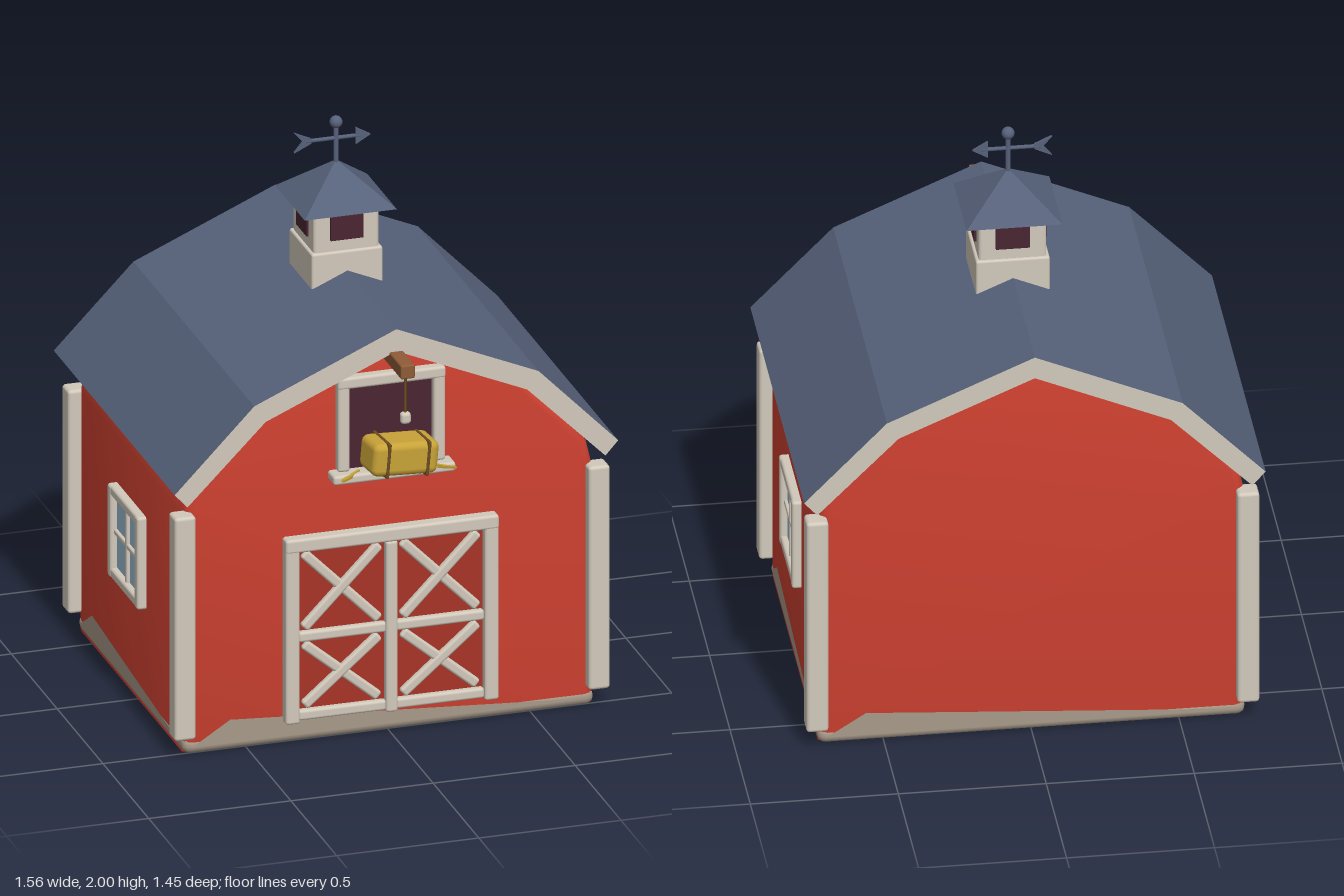
import * as THREE from 'three';
import { toCreasedNormals } from 'three/addons/utils/BufferGeometryUtils.js';
import { RoundedBoxGeometry } from 'three/addons/geometries/RoundedBoxGeometry.js';

const mat = (name, color, side = THREE.FrontSide) => {
  const m = new THREE.MeshStandardMaterial({ color, side });
  m.name = name;
  return m;
};

export function createModel() {
  const red = mat('barnRed', 0xcc4030);
  const darkRed = mat('doorRed', 0xa83428);
  const cream = mat('creamTrim', 0xd2c9bb);
  const stone = mat('stone', 0xa89a8a, THREE.DoubleSide);
  const slate = mat('slateBlue', 0x56617a);
  const wood = mat('wood', 0x8f5c38);
  const straw = mat('straw', 0xc9a338);
  const twine = mat('twine', 0x6b4c20);
  const dark = mat('darkOpening', 0x4a2632);
  const glass = mat('glass', 0x9dbfd6);

  const model = new THREE.Group();
  model.name = 'barn';
  const CZ = -0.06; // middle of the building in z
  const FRONT = 0.52;

  const group = (name, parent = model) => {
    const g = new THREE.Group();
    g.name = name;
    parent.add(g);
    return g;
  };
  const add = (name, geo, material, x = 0, y = 0, z = 0, parent = model) => {
    const m = new THREE.Mesh(geo, material);
    m.name = name;
    m.position.set(x, y, z);
    parent.add(m);
    return m;
  };
  // Soft-edged block given by its centre and size
  const block = (name, material, [x, y, z], [w, h, d], parent = model, r = 0.01) =>
    add(name, new RoundedBoxGeometry(w, h, d, 2, Math.min(r, w / 2.1, h / 2.1, d / 2.1)), material, x, y, z, parent);
  const plate = (name, material, [x, y, z], [w, h, d], parent = model) =>
    add(name, new THREE.BoxGeometry(w, h, d), material, x, y, z, parent);
  const shape = (pts) => new THREE.Shape(pts.map(([x, y]) => new THREE.Vector2(x, y)));
  // Close a right-hand outline with its mirror image
  const mirrored = (half) => [...half, ...half.filter(([x]) => x > 0).reverse().map(([x, y]) => [-x, y])];

  // Walls: gambrel profile with softened corners
  const wallHalf = [[0.72, 0.005], [0.72, 0.87], [0.7, 0.955], [0.63, 1.045], [0.46, 1.22], [0, 1.42]];
  const walls = new THREE.ExtrudeGeometry(shape(mirrored(wallHalf)), {
    depth: 1.1, bevelSize: 0.03, bevelOffset: -0.03, bevelThickness: 0.03, bevelSegments: 3,
  });
  add('walls', toCreasedNormals(walls, 0.6), red, 0, 0, CZ - 0.55);

  // Stone footing, with a sloping wedge against each wall
  block('footing', stone, [0, 0.03, CZ], [1.446, 0.06, 1.166], model, 0.0299);
  for (let i = 0; i < 4; i++) {
    const along = i % 2 ? 0.55 : 0.69;
    const out = i % 2 ? 0.723 : 0.583;
    const side = group('footingWedge');
    side.position.z = CZ;
    side.rotation.y = i * Math.PI / 2;
    const tri = shape([[-along, 0.03], [along, 0.03], [-along + 0.13, 0.112]]);
    add('wedge', new THREE.ShapeGeometry(tri), stone, 0, 0, out, side);
  }

  // Roof shell: slate surfaces, cream gable ends
  const outer = [[0.78, 0.985], [0.5, 1.272], [0, 1.488], [-0.5, 1.272], [-0.78, 0.985]];
  const inner = [[-0.735, 0.935], [-0.46, 1.21], [0, 1.408], [0.46, 1.21], [0.735, 0.935]];
  const roof = new THREE.ExtrudeGeometry(shape([...outer, ...inner]), { depth: 1.32, bevelEnabled: false });
  add('roof', roof, [cream, slate], 0, 0, -0.72);

  // Corner posts
  for (const x of [-0.728, 0.728])
    for (const z of [0.523, -0.643])
      block('cornerPost', cream, [x, 0.475, z], [0.075, 0.81, 0.075], model, 0.012);

  // Double barn door with crossed braces
  const door = group('barnDoor');
  plate('doorPanel', darkRed, [0, 0.4, FRONT], [0.66, 0.62, 0.016], door);
  for (const s of [-1, 1]) {
    block('doorJamb', cream, [s * 0.35, 0.415, 0.535], [0.05, 0.67, 0.05], door);
    for (const [y0, y1] of [[0.125, 0.37], [0.405, 0.7]]) {
      const w = 0.29, h = y1 - y0;
      for (const t of [-1, 1]) {
        const brace = block('crossBrace', cream, [s * 0.173, (y0 + y1) / 2, 0.53 + t * 0.002],
          [Math.hypot(w, h) - 0.035, 0.035, 0.03], door);
        brace.rotation.z = t * Math.atan2(h, w);
      }
    }
    for (const y of [0.105, 0.388])
      block('doorRail', cream, [s * 0.172, y, 0.532], [0.31, 0.037, 0.035], door);
  }
  block('doorLintel', cream, [0, 0.725, 0.536], [0.75, 0.05, 0.052], door);
  block('doorCentrePost', cream, [0, 0.39, 0.535], [0.042, 0.62, 0.042], door);

  // Hay loft opening
  const loft = group('loft');
  plate('loftOpening', dark, [0, 1.12, FRONT], [0.31, 0.32, 0.012], loft);
  for (const s of [-1, 1]) {
    block('loftJamb', cream, [s * 0.168, 1.14, 0.53], [0.042, 0.34, 0.045], loft);
    // loose straw on the sill
    for (let i = 0; i < 3; i++) {
      const wisp = plate('strawWisp', straw, [s * (0.15 + i * 0.012), 0.968, 0.575 + i * 0.015], [0.075, 0.008, 0.008], loft);
      wisp.rotation.set(0, -s * (0.5 + i * 0.15), s * (i - 1) * 0.15);
    }
  }
  block('loftLintel', cream, [0, 1.29, 0.531], [0.38, 0.042, 0.047], loft);
  block('loftSill', cream, [0, 0.955, 0.545], [0.43, 0.033, 0.08], loft);

  // Hay bale bound with twine
  const bale = group('hayBale', loft);
  bale.position.set(0.015, 1.03, 0.585);
  bale.rotation.set(0, 0.1, -0.09);
  block('bale', straw, [0, 0, 0], [0.24, 0.118, 0.135], bale, 0.025);
  for (const x of [-0.068, 0.078])
    block('baleTwine', twine, [x, 0, 0], [0.012, 0.125, 0.142], bale, 0.005);

  // Hoist beam, rope and weight
  const hoist = group('hoist');
  block('hoistBeam', wood, [0, 1.382, 0.605], [0.05, 0.05, 0.245], hoist, 0.006);
  add('hoistRope', new THREE.CylinderGeometry(0.005, 0.005, 0.16, 8), twine, 0, 1.29, 0.697, hoist);
  block('hoistWeight', cream, [0, 1.206, 0.697], [0.036, 0.042, 0.03], hoist, 0.012);

  // Side windows
  for (const s of [-1, 1]) {
    const win = group(s > 0 ? 'leftWindow' : 'rightWindow');
    win.position.set(s * 0.72, 0.533, CZ);
    win.rotation.y = s * Math.PI / 2;
    plate('windowGlass', glass, [0, 0, 0.004], [0.28, 0.28, 0.008], win);
    for (const t of [-1, 1]) {
      block('windowStile', cream, [t * 0.147, 0, 0.01], [0.037, 0.335, 0.045], win);
      block('windowRail', cream, [0, t * 0.149, 0.009], [0.33, 0.037, 0.043], win);
    }
    block('mullion', cream, [0, 0, 0.008], [0.02, 0.29, 0.024], win, 0.006);
    block('mullion', cream, [0, 0, 0.007], [0.28, 0.02, 0.024], win, 0.006);
  }

  // Cupola with louvre openings and hipped roof
  const cupola = group('cupola');
  cupola.position.z = CZ;
  block('cupolaBase', cream, [0, 1.48, 0], [0.25, 0.16, 0.25], cupola, 0.008);
  block('cupolaBody', cream, [0, 1.632, 0], [0.23, 0.165, 0.23], cupola, 0.012);
  for (let i = 0; i < 4; i++) {
    const face = group('cupolaFace', cupola);
    face.rotation.y = i * Math.PI / 2;
    plate('cupolaOpening', dark, [0, 1.642, 0.118], [0.115, 0.084, 0.009], face);
  }
  const cap = new THREE.ConeGeometry(0.162 * Math.SQRT2, 0.138, 4, 1).toNonIndexed();
  cap.computeVertexNormals();
  add('cupolaRoof', cap, slate, 0, 1.773, 0, cupola).rotation.y = Math.PI / 4;

  // Weather vane
  const vane = group('weatherVane', cupola);
  add('vaneMast', new THREE.CylinderGeometry(0.009, 0.009, 0.16, 12), slate, 0, 1.9, 0, vane);
  add('vaneBall', new THREE.SphereGeometry(0.022, 16, 12), slate, 0, 1.978, 0, vane);
  add('vaneShaft', new THREE.CylinderGeometry(0.007, 0.007, 0.2, 10), slate, -0.01, 1.92, 0, vane).rotation.z = Math.PI / 2;
  const flat = (pts) => new THREE.ExtrudeGeometry(shape(pts), { depth: 0.012, bevelEnabled: false });
  add('vaneHead', flat([[0.068, -0.03], [0.12, 0], [0.068, 0.03]]), slate, 0, 1.92, -0.006, vane);
  add('vaneTail', flat([[-0.148, -0.036], [-0.088, -0.008], [-0.088, 0.008], [-0.148, 0.036], [-0.118, 0]]),
    slate, 0, 1.92, -0.006, vane);

  return model;
}
